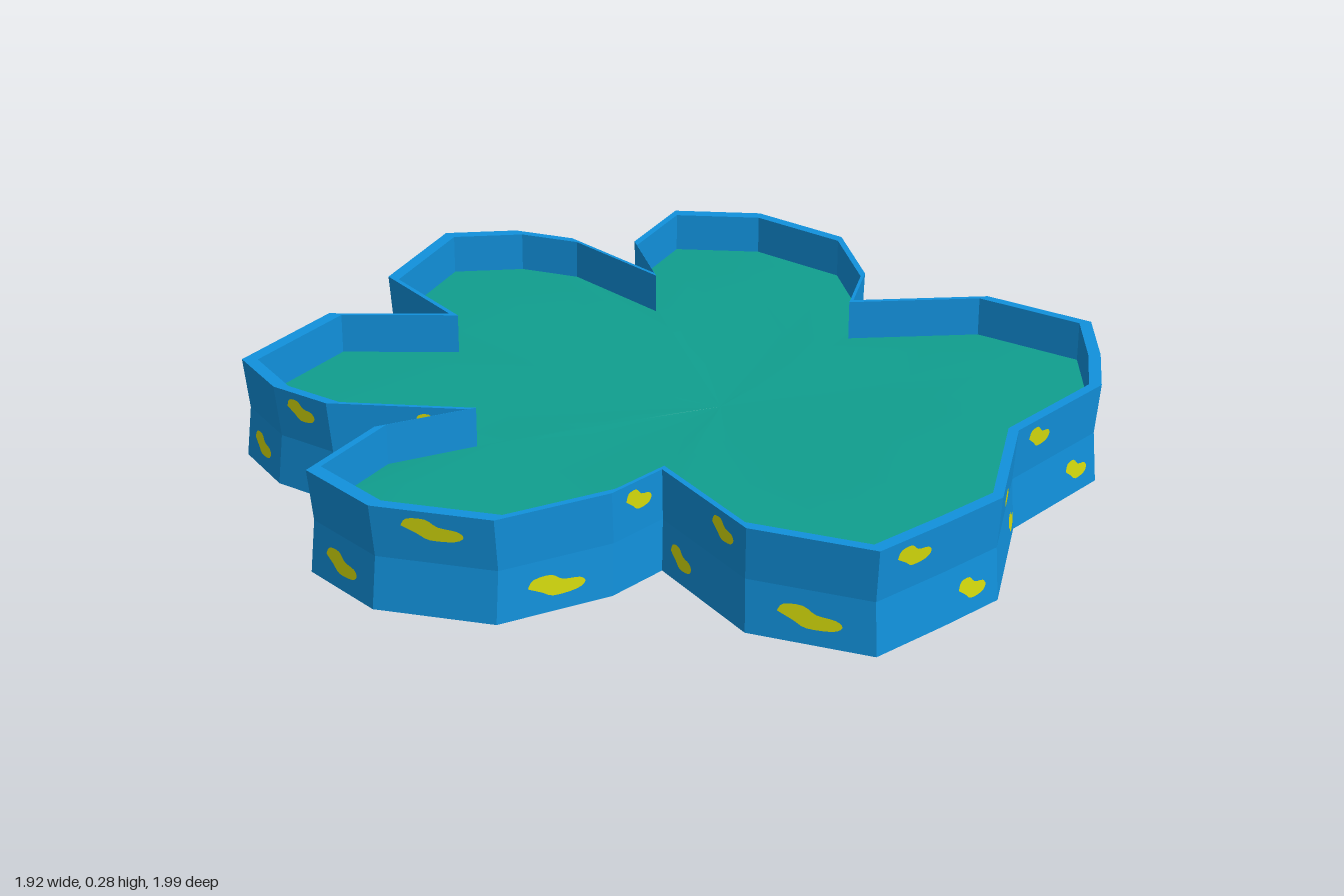
import * as THREE from 'three';
import { mergeGeometries } from 'three/addons/utils/BufferGeometryUtils.js';

// Paw outline, clockwise seen from above: x, z, number of spots on the edge that follows
const OUTLINE = [
  [0.235, -1, 1], [0.38, -0.885, 1], [0.445, -0.74, 1], [0.42, -0.42, 1],
  [0.545, -0.61, 1], [0.79, -0.693, 1], [0.937, -0.52, 2], [0.957, -0.25, 1],
  [0.8, -0.04, 1], [0.64, 0.055, 2], [0.9, 0.275, 1], [0.947, 0.555, 1],
  [0.795, 0.69, 1], [0.65, 0.795, 2], [0.31, 0.81, 2], [0.013, 0.99, 1],
  [-0.16, 0.98, 1], [-0.365, 0.963, 1], [-0.48, 0.7, 2], [-0.4, 0.385, 1],
  [-0.56, 0.39, 1], [-0.825, 0.307, 1], [-0.963, 0.07, 1], [-0.945, -0.153, 1],
  [-0.695, -0.217, 1], [-0.485, -0.14, 2], [-0.69, -0.39, 1], [-0.715, -0.545, 1],
  [-0.667, -0.72, 2], [-0.34, -0.793, 1], [-0.133, -0.585, 1], [-0.077, -0.873, 2],
];
const N = OUTLINE.length;
const CENTRE = 0.1; // x and z of the point every outline ring shrinks towards
const HEIGHT = 0.245;
const WAIST = 0.988;

// The whole tray rises gently towards the back
const lift = (z) => 0.018 * (1 - z);

function ringPoint(i, scale, y) {
  const [px, pz] = OUTLINE[i % N];
  const x = CENTRE + (px - CENTRE) * scale;
  const z = CENTRE + (pz - CENTRE) * scale;
  return new THREE.Vector3(x, y + lift(z), z);
}

// Skins a list of [scale, y] rings
function loft(rings, smooth) {
  const positions = [];
  const index = [];
  for (const [scale, y] of rings) {
    for (let i = 0; i < N; i++) positions.push(...ringPoint(i, scale, y).toArray());
  }
  for (let r = 0; r < rings.length - 1; r++) {
    for (let i = 0; i < N; i++) {
      const a = r * N + i, b = r * N + (i + 1) % N;
      index.push(a, a + N, b + N, a, b + N, b);
    }
  }
  const geometry = new THREE.BufferGeometry();
  geometry.setAttribute('position', new THREE.Float32BufferAttribute(positions, 3));
  geometry.setIndex(index);
  const result = smooth ? geometry : geometry.toNonIndexed();
  result.computeVertexNormals();
  return result;
}

// Point on the outer wall: edge i, t along the edge, h from 0 (base) to 1 (rim)
function wallPoint(i, t, h) {
  const scale = 1 - (1 - WAIST) * (1 - Math.abs(2 * h - 1));
  return ringPoint(i, scale, h * HEIGHT).lerp(ringPoint(i + 1, scale, h * HEIGHT), t);
}

// Cloud-shaped spots, alternating between an upper and a lower row
function spotsGeometry() {
  const cloud = [[-0.5, 0.1], [-0.4, 0.45], [-0.1, 0.5], [0.1, 0.2], [0.4, 0.1],
    [0.5, -0.15], [0.35, -0.4], [-0.05, -0.45], [-0.25, -0.2]];
  const curve = new THREE.SplineCurve([...cloud, cloud[0]].map((p) => new THREE.Vector2(...p)));
  const shape = new THREE.Shape(curve.getPoints(27).slice(0, -1));
  const spots = [];
  let upper = true;
  for (let i = 0; i < N; i++) {
    const [x0, z0, count] = OUTLINE[i];
    const [x1, z1] = OUTLINE[(i + 1) % N];
    const outward = new THREE.Vector3(z1 - z0, 0, x0 - x1).normalize().multiplyScalar(0.004);
    for (let k = 0; k < count; k++) {
      const spot = new THREE.ShapeGeometry(shape);
      const pos = spot.attributes.position;
      for (let v = 0; v < pos.count; v++) {
        const t = (k + 0.5 - pos.getX(v) * 0.5) / count;
        const h = (upper ? 0.83 : 0.25) + pos.getY(v) * 0.21;
        const p = wallPoint(i, t, h).add(outward);
        pos.setXYZ(v, p.x, p.y, p.z);
      }
      spot.computeVertexNormals();
      spots.push(spot);
      upper = !upper;
    }
  }
  return mergeGeometries(spots);
}

export function createModel() {
  const blue = new THREE.MeshStandardMaterial({ color: 0x1191dc });
  blue.name = 'blue';
  const teal = new THREE.MeshStandardMaterial({ color: 0x109e8e });
  teal.name = 'teal';
  const yellow = new THREE.MeshStandardMaterial({ color: 0xd6dc0c });
  yellow.name = 'yellow';

  const group = new THREE.Group();
  group.name = 'pawTray';
  const add = (name, geometry, material) => {
    const mesh = new THREE.Mesh(geometry, material);
    mesh.name = name;
    group.add(mesh);
  };

  // Underside, pinched outer wall, rim and inner wall
  add('trayWall', loft([[0, 0], [1, 0], [WAIST, HEIGHT / 2], [1, HEIGHT],
    [0.967, HEIGHT], [0.967, 0.14]], false), blue);

  // Softly uneven floor inside the rim
  add('trayFloor', loft([[0.968, 0.148], [0.75, 0.152], [0.5, 0.15], [0.25, 0.146], [0, 0.142]], true), teal);

  add('wallSpots', spotsGeometry(), yellow);
  return group;
}
